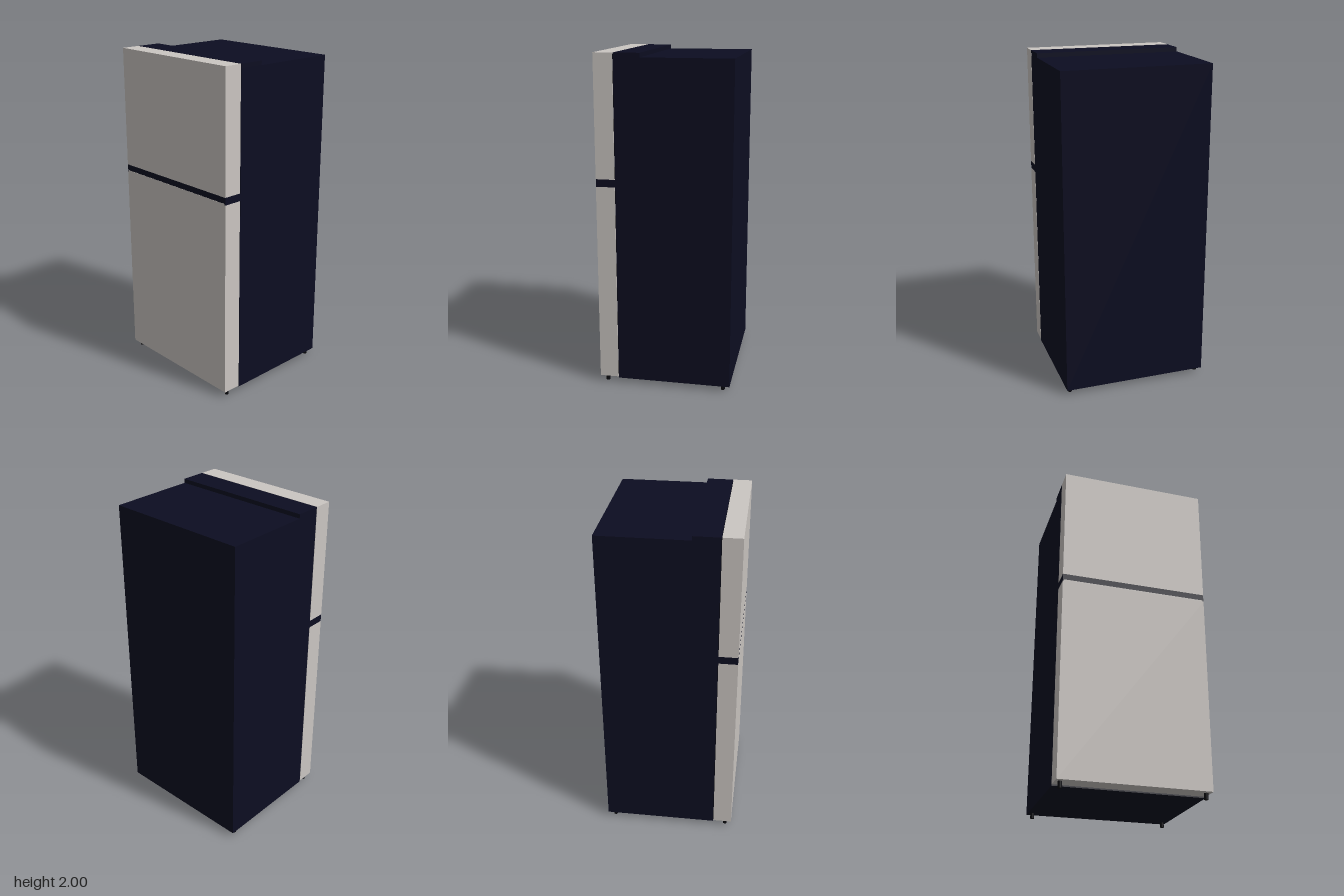
import * as THREE from 'three';

export function createModel() {
  const model = new THREE.Group();
  model.name = 'refrigerator';

  const material = (name, color) => {
    const m = new THREE.MeshStandardMaterial({ color });
    m.name = name;
    return m;
  };
  const navy = material('dark navy', 0x0c0d21);
  const silver = material('warm silver', 0xcbc6c2);
  const black = material('black', 0x08080d);

  // Box given by its low and high limits on each axis
  const box = (name, mat, [x0, x1], [y0, y1], [z0, z1]) => {
    const mesh = new THREE.Mesh(new THREE.BoxGeometry(x1 - x0, y1 - y0, z1 - z0), mat);
    mesh.position.set((x0 + x1) / 2, (y0 + y1) / 2, (z0 + z1) / 2);
    mesh.name = name;
    model.add(mesh);
  };
  const W = 0.445;
  const width = [-W, W];

  // Cabinet and the raised hinge cover behind the upper door
  box('cabinet', navy, width, [0.03, 1.975], [-0.4, 0.284]);
  box('hingeCover', navy, width, [1.975, 2], [0.13, 0.284]);

  // Doors
  const doorDepth = [0.287, 0.4];
  box('lowerDoor', silver, width, [0.037, 1.232], doorDepth);
  box('upperDoor', silver, width, [1.277, 2], doorDepth);

  // Dark band between the doors, with a thin silver lip between its end caps
  box('doorBand', navy, width, [1.232, 1.277], [0.284, 0.399]);
  box('lowerDoorLip', silver, [-W + 0.007, W - 0.007], [1.232, 1.24], [0.395, 0.4]);

  // Door gaskets filling the narrow gap to the cabinet
  const gasketWidth = [-W + 0.005, W - 0.005];
  box('lowerGasket', black, gasketWidth, [0.042, 1.228], [0.283, 0.288]);
  box('upperGasket', black, gasketWidth, [1.281, 1.992], [0.283, 0.288]);

  // Four round feet
  for (const x of [-0.417, 0.417]) {
    for (const z of [-0.357, 0.36]) {
      const foot = new THREE.Mesh(new THREE.CylinderGeometry(0.012, 0.012, 0.04, 16), black);
      foot.position.set(x, 0.02, z);
      foot.name = 'foot';
      model.add(foot);
    }
  }
  return model;
}
